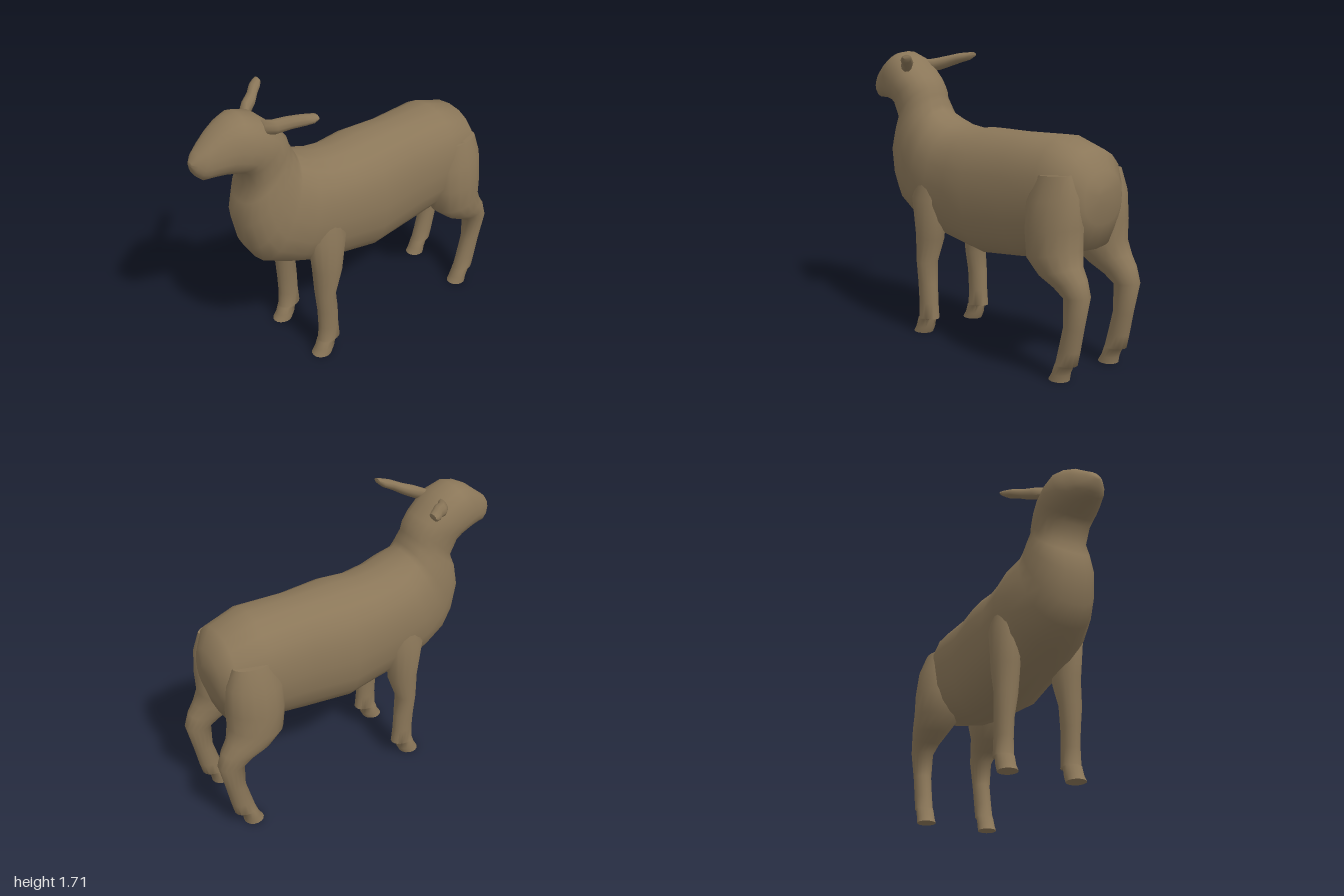
import * as THREE from 'three';
import { mergeVertices, toCreasedNormals } from 'three/addons/utils/BufferGeometryUtils.js';

// Loft oval rings. Each section: [z1, y1, z2, y2, halfWidth, xCentre];
// (z1, y1) and (z2, y2) are opposite ends of the ring in the side plane.
function loft(sections, { side = 1, sides = 16, power = 1, crease = 0 } = {}) {
  const pos = [], index = [];
  const soften = (v) => Math.sign(v) * Math.abs(v) ** power;
  for (const [z1, y1, z2, y2, w, x = 0] of sections) {
    for (let j = 0; j < sides; j++) {
      const t = (j / sides) * Math.PI * 2;
      const c = soften(Math.cos(t)), s = soften(Math.sin(t));
      pos.push(x * side + w * c, (y1 + y2) / 2 + ((y1 - y2) / 2) * s, (z1 + z2) / 2 + ((z1 - z2) / 2) * s);
    }
  }
  const last = sections.length - 1;
  for (let i = 0; i < last; i++) {
    for (let j = 0; j < sides; j++) {
      const k = (j + 1) % sides;
      const a = i * sides + j, b = i * sides + k, c = a + sides, d = b + sides;
      index.push(a, b, d, a, d, c);
    }
  }
  // close both ends
  for (let j = 1; j < sides - 1; j++) {
    index.push(0, j + 1, j);
    index.push(last * sides, last * sides + j, last * sides + j + 1);
  }
  let geo = new THREE.BufferGeometry();
  geo.setAttribute('position', new THREE.Float32BufferAttribute(pos, 3));
  geo.setIndex(index);
  geo = mergeVertices(geo);
  if (crease) return toCreasedNormals(geo, crease);
  geo.computeVertexNormals();
  return geo;
}

// Rump to muzzle: back point, underside point, half width
const BODY = [
  [-0.93, 1.05, -0.93, 0.95, 0.06],
  [-0.91, 1.13, -0.915, 0.84, 0.15],
  [-0.84, 1.24, -0.87, 0.70, 0.24],
  [-0.65, 1.30, -0.65, 0.63, 0.27],
  [-0.35, 1.29, -0.40, 0.575, 0.255],
  [-0.10, 1.29, -0.10, 0.545, 0.285],
  [0.07, 1.275, 0.10, 0.575, 0.265],
  [0.20, 1.29, 0.30, 0.61, 0.265],
  [0.29, 1.32, 0.48, 0.68, 0.26],
  [0.37, 1.36, 0.64, 0.75, 0.215],
  [0.385, 1.39, 0.71, 0.86, 0.20],
  [0.40, 1.42, 0.75, 1.03, 0.185],
  [0.415, 1.45, 0.73, 1.17, 0.165],
  [0.43, 1.50, 0.69, 1.26, 0.16],
];
const HEAD = [
  [0.47, 1.55, 0.73, 1.36, 0.165],
  [0.53, 1.605, 0.76, 1.385, 0.17],
  [0.60, 1.67, 0.80, 1.39, 0.165],
  [0.70, 1.705, 0.85, 1.40, 0.15],
  [0.76, 1.695, 0.90, 1.40, 0.125],
  [0.83, 1.66, 0.95, 1.40, 0.10],
  [0.90, 1.605, 0.97, 1.42, 0.08],
  [0.96, 1.56, 0.99, 1.45, 0.05],
  [0.995, 1.515, 1.0, 1.49, 0.02],
];
// Legs from top to hoof: front point, back point, half width, x
const FRONT_LEG = [
  [0.33, 1.05, 0.18, 1.05, 0.06, 0.17],
  [0.40, 0.85, 0.15, 0.85, 0.085, 0.20],
  [0.37, 0.62, 0.18, 0.60, 0.08, 0.195],
  [0.36, 0.45, 0.235, 0.45, 0.068, 0.202],
  [0.35, 0.32, 0.22, 0.32, 0.056, 0.207],
  [0.345, 0.20, 0.215, 0.20, 0.053, 0.207],
  [0.35, 0.10, 0.205, 0.10, 0.054, 0.207],
  [0.353, 0.092, 0.24, 0.092, 0.054, 0.207],
  [0.37, 0.04, 0.25, 0.04, 0.055, 0.207],
  [0.395, 0, 0.27, 0, 0.057, 0.207],
];
const HIND_LEG = [
  [-0.62, 1.10, -0.86, 1.12, 0.06, 0.20],
  [-0.56, 0.95, -0.90, 1.00, 0.12, 0.19],
  [-0.56, 0.80, -0.91, 0.84, 0.14, 0.187],
  [-0.58, 0.65, -0.905, 0.72, 0.14, 0.188],
  [-0.68, 0.565, -0.93, 0.64, 0.11, 0.205],
  [-0.78, 0.515, -0.97, 0.58, 0.085, 0.207],
  [-0.843, 0.475, -1.0, 0.49, 0.068, 0.208],
  [-0.845, 0.32, -0.963, 0.31, 0.055, 0.207],
  [-0.81, 0.18, -0.94, 0.18, 0.053, 0.207],
  [-0.79, 0.10, -0.922, 0.10, 0.054, 0.207],
  [-0.787, 0.092, -0.895, 0.092, 0.054, 0.207],
  [-0.77, 0.04, -0.87, 0.04, 0.055, 0.207],
  [-0.745, 0, -0.865, 0, 0.057, 0.207],
];
// Ears sweep outwards and back: lower point, upper point
const EAR = [
  [0.62, 1.58, 0.60, 1.655, 0.045, 0.08],
  [0.56, 1.585, 0.56, 1.665, 0.045, 0.13],
  [0.50, 1.61, 0.50, 1.68, 0.045, 0.17],
  [0.45, 1.635, 0.45, 1.695, 0.045, 0.22],
  [0.41, 1.65, 0.41, 1.70, 0.04, 0.25],
  [0.388, 1.67, 0.388, 1.70, 0.03, 0.265],
];

export function createModel() {
  const group = new THREE.Group();
  const coat = new THREE.MeshStandardMaterial({ color: 0x8b7759 });
  coat.name = 'brown coat';
  const add = (name, geo) => {
    const mesh = new THREE.Mesh(geo, coat);
    mesh.name = name;
    group.add(mesh);
  };

  // torso, neck and head are one continuous skin
  add('bodyAndHead', loft([...BODY, ...HEAD], { sides: 20, power: 0.88 }));

  for (const [label, side] of [['left', 1], ['right', -1]]) {
    add(label + 'FrontLeg', loft(FRONT_LEG, { side, crease: 1.1 }));
    add(label + 'HindLeg', loft(HIND_LEG, { side, crease: 1.1 }));
    add(label + 'Ear', loft(EAR, { side, sides: 10, crease: 1.1 }));
  }
  return group;
}
